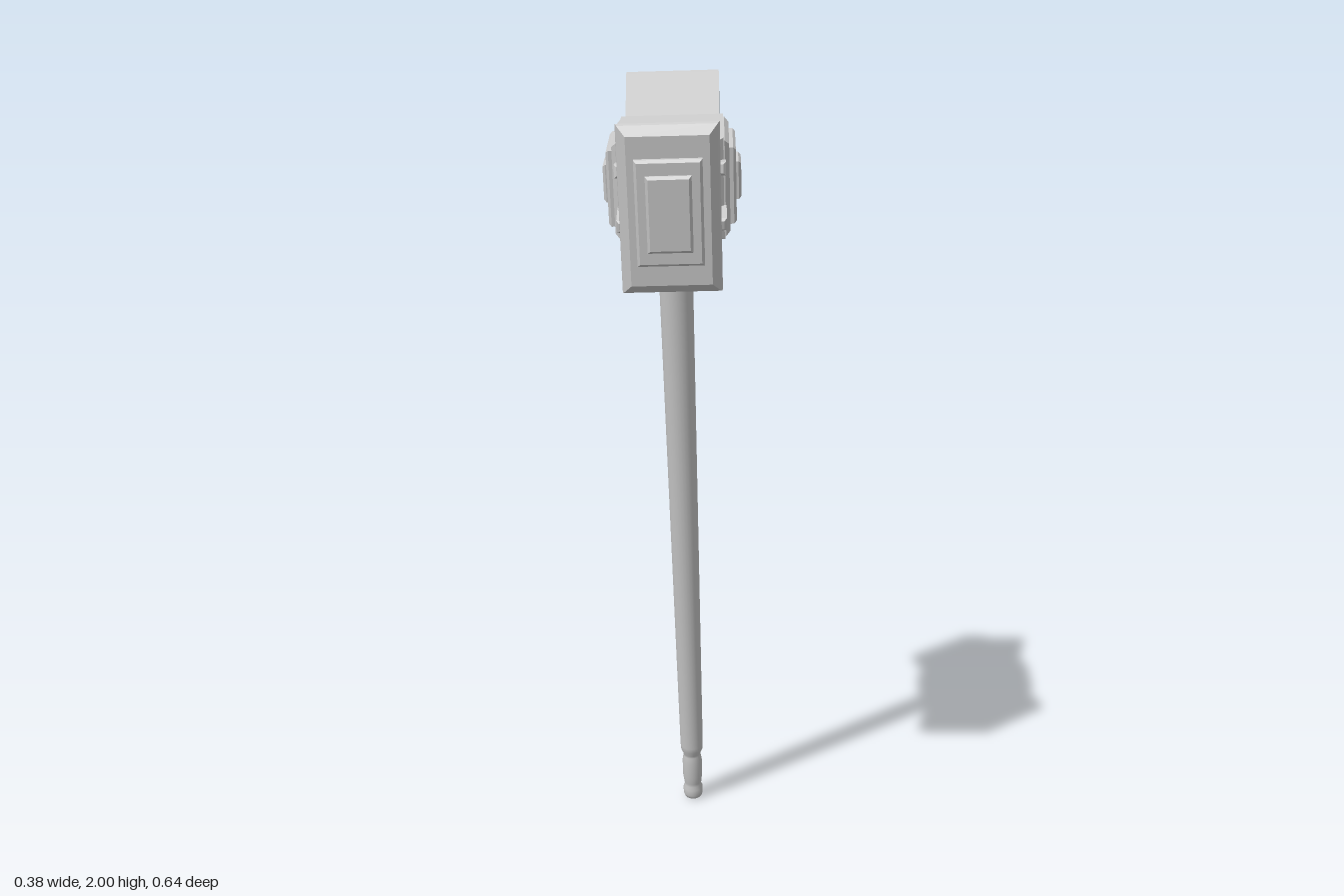
import * as THREE from 'three';

const flat = new THREE.MeshStandardMaterial({ color: 0xcccccc, flatShading: true });
const smooth = new THREE.MeshStandardMaterial({ color: 0xcccccc });

// Solid through rectangular rings [z, halfWidth, halfHeight] along +z
function loft(rings) {
  const pos = [], idx = [];
  for (const [z, w, h] of rings) pos.push(-w, -h, z, w, -h, z, w, h, z, -w, h, z);
  for (let i = 0; i < rings.length - 1; i++) {
    for (let k = 0; k < 4; k++) {
      const a = i * 4 + k, b = i * 4 + (k + 1) % 4;
      idx.push(a, b, b + 4, a, b + 4, a + 4);
    }
  }
  const n = (rings.length - 1) * 4;
  idx.push(0, 2, 1, 0, 3, 2, n, n + 1, n + 2, n, n + 2, n + 3);
  const g = new THREE.BufferGeometry();
  g.setAttribute('position', new THREE.Float32BufferAttribute(pos, 3));
  g.setIndex(idx);
  const out = g.toNonIndexed();
  out.computeVertexNormals();
  return out;
}

function add(parent, name, geometry, material = flat) {
  const mesh = new THREE.Mesh(geometry, material);
  mesh.name = name;
  parent.add(mesh);
  return mesh;
}

// Raised plate with a small bevel, from z0 to z1
const plate = (w, h, z0, z1, bevel = 0.006) =>
  loft([[z0, w, h], [z1 - bevel, w, h], [z1, w - bevel, h - bevel]]);

export function createModel() {
  const model = new THREE.Group();
  const hammer = new THREE.Group();
  hammer.name = 'hammer';
  model.add(hammer);

  // Central block of the head
  add(hammer, 'headBlock', loft([
    [-0.12, 0.108, 0.112], [-0.112, 0.12, 0.117], [0.112, 0.12, 0.117], [0.12, 0.108, 0.112],
  ]));

  // Flared striking ends with stepped face plates and side bars
  for (const [name, turn] of [['front', 0], ['back', Math.PI]]) {
    const end = new THREE.Group();
    end.name = name + 'End';
    end.rotation.y = turn;
    hammer.add(end);
    add(end, 'flare', loft([
      [0.08, 0.108, 0.1], [0.115, 0.11, 0.114], [0.25, 0.112, 0.186],
      [0.258, 0.111, 0.189], [0.264, 0.108, 0.186], [0.282, 0.09, 0.166],
    ]));
    add(end, 'facePlate', plate(0.074, 0.118, 0.27, 0.297));
    add(end, 'faceInset', plate(0.05, 0.085, 0.29, 0.308));
    for (const sx of [-1, 1]) {
      for (const sy of [-1, 1]) {
        const bar = add(end, 'sideBar', loft([
          [-0.04, 0.014, 0.015], [0.028, 0.014, 0.015], [0.034, 0.008, 0.01],
        ]));
        bar.position.set(sx * 0.11, sy * 0.058, 0.145);
        bar.rotation.x = -sy * 0.18;
      }
    }
  }

  // Stepped square panels on both sides of the block
  for (const side of [-1, 1]) {
    const panel = new THREE.Group();
    panel.name = side > 0 ? 'leftPanel' : 'rightPanel';
    panel.rotation.y = side * Math.PI / 2;
    hammer.add(panel);
    add(panel, 'panelBase', plate(0.113, 0.11, 0.11, 0.132, 0.01));
    add(panel, 'panelPlate', plate(0.09, 0.088, 0.125, 0.147));
    add(panel, 'panelBoss', plate(0.044, 0.044, 0.14, 0.159));
  }

  // Tapered socket under the block
  const socket = add(hammer, 'socket', loft([
    [0.1, 0.11, 0.114], [0.118, 0.11, 0.114], [0.165, 0.088, 0.088],
    [0.165, 0.08, 0.08], [0.195, 0.067, 0.068], [0.195, 0.061, 0.062], [0.23, 0.047, 0.048],
  ]));
  socket.rotation.x = Math.PI / 2;

  // Collar ring
  const collar = add(hammer, 'collar', new THREE.TorusGeometry(0.044, 0.013, 10, 32), smooth);
  collar.rotation.x = Math.PI / 2;
  collar.position.y = -0.236;

  // Tapered handle with a grooved pommel
  const profile = [
    [0, 0], [0.018, 0], [0.024, 0.004], [0.027, 0.014], [0.027, 0.032], [0.023, 0.042],
    [0.024, 0.052], [0.027, 0.075], [0.027, 0.125], [0.024, 0.143], [0.024, 0.15],
    [0.03, 0.165], [0.031, 0.18], [0.041, 1.56], [0.041, 1.62], [0, 1.62],
  ].map(([r, y]) => new THREE.Vector2(r, y));
  const handle = add(hammer, 'handle', new THREE.LatheGeometry(profile, 28), smooth);
  handle.position.y = -1.792;

  // Lean the whole hammer: handle direction, then head direction
  const up = new THREE.Vector3(-0.0745, 0.985, 0.1555).normalize();
  const side = new THREE.Vector3().crossVectors(up, new THREE.Vector3(-0.27, -0.17, 0.95)).normalize();
  const fwd = new THREE.Vector3().crossVectors(side, up);
  hammer.quaternion.setFromRotationMatrix(new THREE.Matrix4().makeBasis(side, up, fwd));
  hammer.position.set(0, 1.77, 0);
  return model;
}
